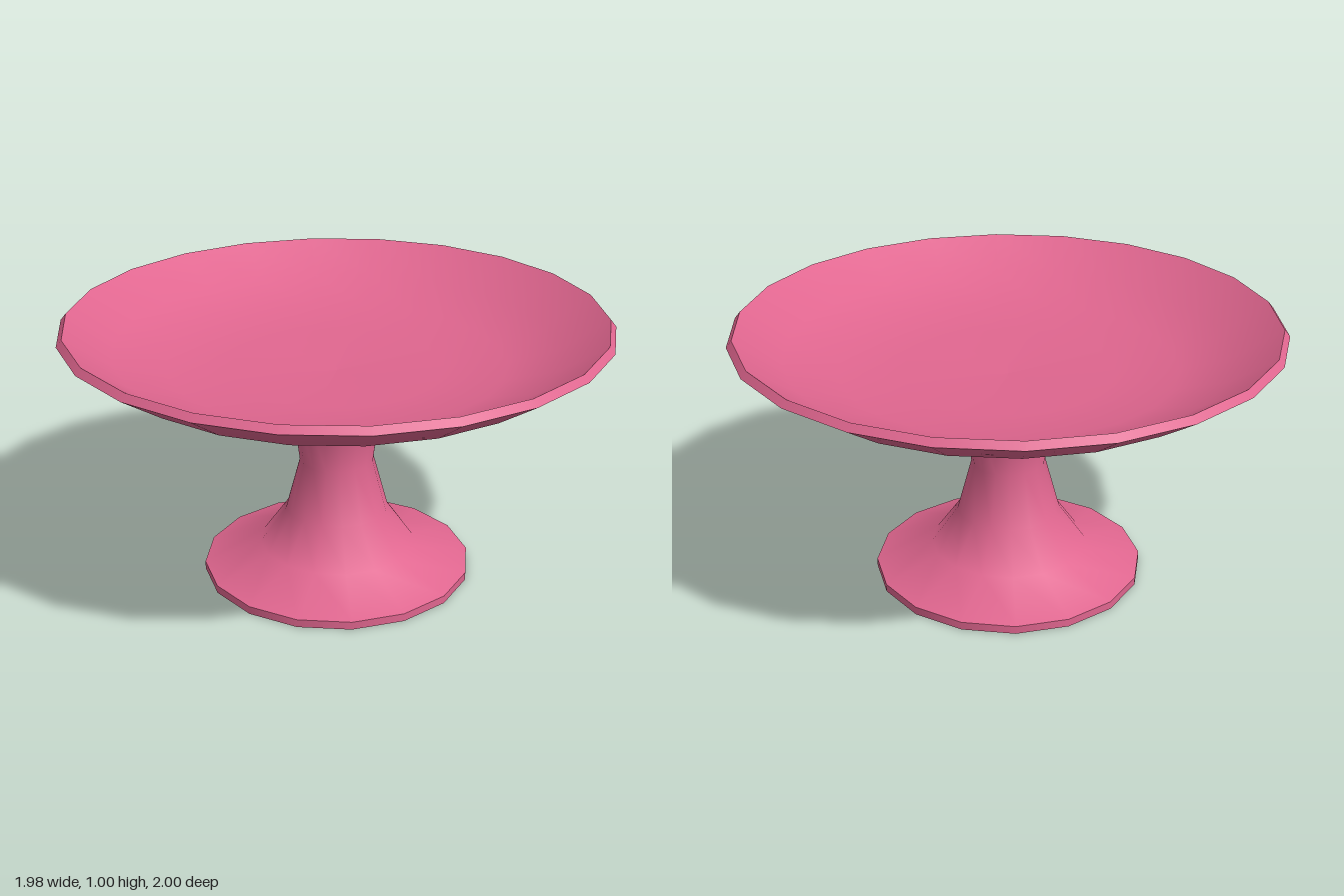
import * as THREE from 'three';

const material = new THREE.MeshStandardMaterial({ color: 0xe0668f });

// Each section is one smooth lathe; section ends form the sharp edges.
function turned(name, sides, sections) {
  const group = new THREE.Group();
  group.name = name;
  for (const [part, profile] of Object.entries(sections)) {
    const points = profile.map(([r, y]) => new THREE.Vector2(r, y));
    const mesh = new THREE.Mesh(new THREE.LatheGeometry(points, sides), material);
    mesh.name = part;
    group.add(mesh);
  }
  return group;
}

export function createModel() {
  const model = new THREE.Group();
  model.name = 'cakeStand';

  // Flared foot rising into the waisted stem
  model.add(turned('pedestal', 16, {
    footBase: [[0, 0], [0.505, 0]],
    footEdge: [[0.505, 0], [0.505, 0.03]],
    stem: [[0.505, 0.03], [0.292, 0.105], [0.193, 0.245], [0.139, 0.445], [0.165, 0.655], [0.235, 0.755]],
  }));

  // Shallow dish with a thin bevelled rim
  model.add(turned('dish', 22, {
    underside: [[0, 0.75], [0.235, 0.752], [0.4, 0.787], [0.635, 0.8], [0.835, 0.867], [1, 0.975]],
    rim: [[1, 0.975], [0.98, 1]],
    bowl: [[0.98, 1], [0.815, 0.893], [0.62, 0.83], [0.39, 0.81], [0, 0.795]],
  }));

  return model;
}
